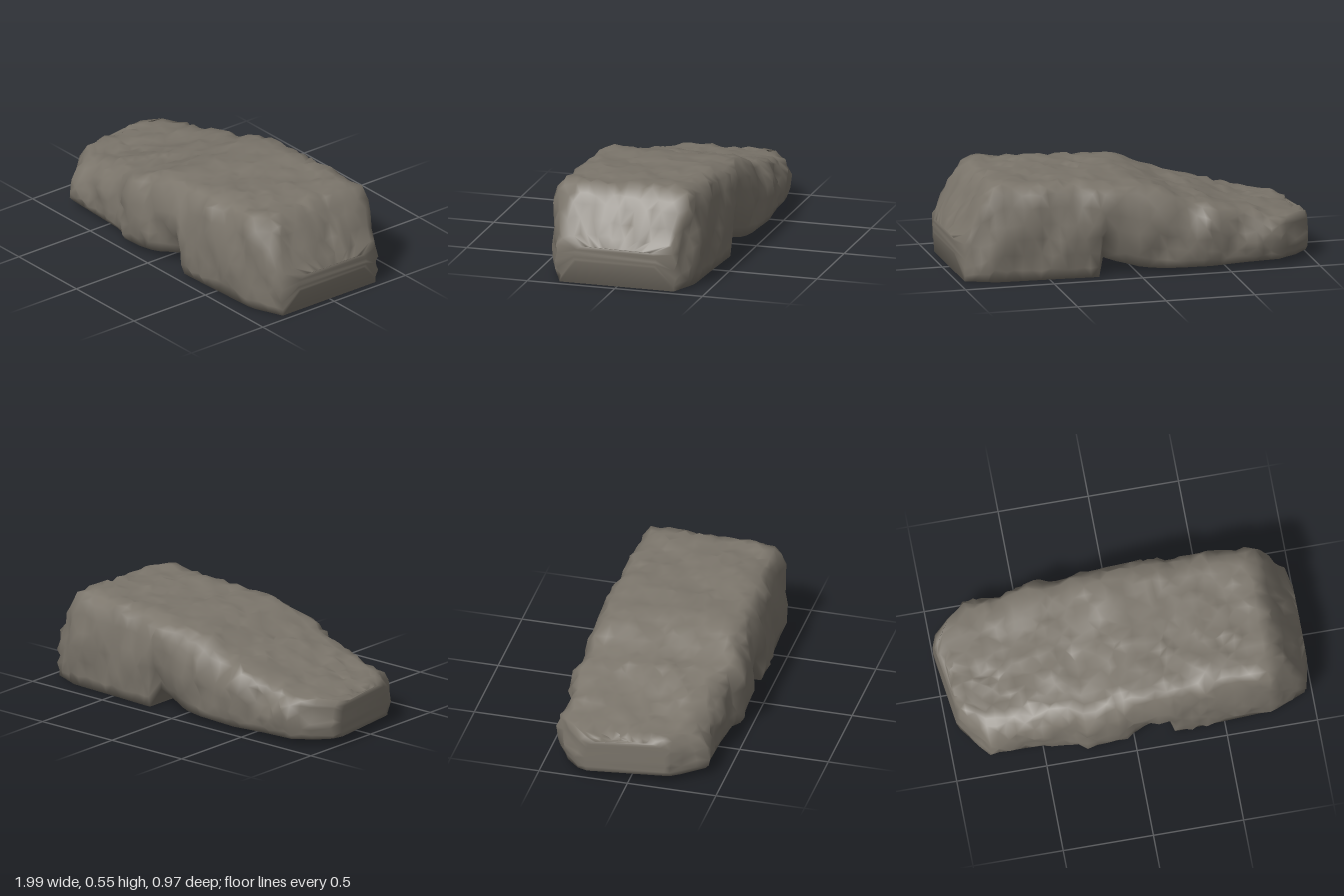
import * as THREE from 'three';

const { smoothstep, clamp } = THREE.MathUtils;

// Sections along the rock: x, bottom y, top y, back z, front z
const SECTIONS = [
  [-0.945, 0.045, 0.235, -0.24, 0.2],
  [-0.93, 0.04, 0.25, -0.3, 0.235],
  [-0.89, 0.037, 0.26, -0.38, 0.29],
  [-0.79, 0.034, 0.272, -0.445, 0.405],
  [-0.6, 0.03, 0.31, -0.45, 0.41],
  [-0.4, 0.026, 0.375, -0.47, 0.415],
  [-0.32, 0.026, 0.39, -0.465, 0.43],
  [-0.27, 0.025, 0.4, -0.46, 0.465],
  [-0.15, 0.027, 0.45, -0.455, 0.46],
  [0, 0.042, 0.49, -0.45, 0.45],
  [0.12, 0.07, 0.5, -0.45, 0.45],
  [0.19, 0.095, 0.503, -0.445, 0.45],
  [0.225, 0, 0.503, -0.445, 0.45],
  [0.45, 0, 0.52, -0.43, 0.44],
  [0.75, 0, 0.532, -0.415, 0.425],
  [0.8, 0, 0.522, -0.41, 0.415],
  [0.88, 0, 0.425, -0.375, 0.38],
  [0.96, 0, 0.27, -0.34, 0.345],
  [0.99, 0.13, 0.22, -0.23, 0.24],
];

// Flank profile: fraction of half width, fraction of height
const FLANK = [[0.95, 0], [0.98, 0.12], [1, 0.27], [1.01, 0.44], [1.005, 0.6], [0.98, 0.77], [0.93, 0.91], [0.85, 0.98]];
const TOP_STEPS = 15;

// Repeatable noise from -1 to 1
function noise(a, b, seed) {
  const s = Math.sin(a * 127.1 + b * 311.7 + seed * 74.7) * 43758.5453;
  return (s - Math.floor(s)) * 2 - 1;
}

// One closed loop: front flank, top, back flank, then straight across the base
function makeProfile() {
  const loop = FLANK.map(([u, v]) => ({ u, v, kind: v === 0 ? 'base' : 'flank' }));
  for (let i = 1; i < TOP_STEPS; i++) {
    loop.push({ u: 0.85 * (1 - 2 * i / TOP_STEPS), v: 1, kind: 'top' });
  }
  [...FLANK].reverse().forEach(([u, v]) => loop.push({ u: -u, v, kind: v === 0 ? 'base' : 'flank' }));
  return loop;
}

// Fill the gaps between the sections
function subdivide(sections, step) {
  const out = [];
  for (let k = 0; k < sections.length - 1; k++) {
    const a = sections[k], b = sections[k + 1];
    const n = Math.max(1, Math.round((b[0] - a[0]) / step));
    for (let i = 0; i < n; i++) out.push(a.map((p, c) => p + (b[c] - p) * i / n));
  }
  out.push(sections[sections.length - 1]);
  return out;
}

function makeRockGeometry() {
  const profile = makeProfile();
  const rings = subdivide(SECTIONS, 0.05);
  const n = profile.length, last = rings.length - 1;
  const positions = [], indices = [];

  rings.forEach(([x, low, high, back, front], i) => {
    const mid = (front + back) / 2, half = (front - back) / 2;
    const tame = i === 0 || i === last ? 0.3 : 1;
    // The front leans back towards the low end; the flanks are hollowed beside the notch
    const lean = 0.02 + 0.06 * smoothstep(-x, 0.25, 0.8) * (1 - smoothstep(-x, 0.85, 0.95));
    const hollow = 0.06 * smoothstep(x, -0.08, 0.14) * (1 - smoothstep(x, 0.19, 0.23));

    profile.forEach(({ u, v, kind }, j) => {
      let px = x, py = low + (high - low) * v, pz = mid + half * u;
      pz -= (u > 0 ? lean : 0.01) * u * v * v;
      pz -= hollow * u * (1 - smoothstep(v, 0.05, 0.45));
      // Chips and dents, leaving the underside smooth
      if (kind === 'top') {
        px += 0.014 * noise(i, j, 1) * tame;
        py += (0.012 * noise(i, j, 2) + 0.005 * Math.sin(x * 13 + pz * 9)) * tame;
        pz += 0.013 * noise(i, j, 3) * tame;
      } else if (kind === 'flank') {
        const side = Math.sign(u);
        px += 0.01 * noise(i, j, 4) * tame;
        py += 0.011 * noise(i, j, 5) * tame;
        pz += side * (0.014 * noise(i, j, 6) + 0.008 * Math.sin(x * 17 + py * 14 + side)) * tame;
      }
      // Corner jutting from the low end
      const jut = smoothstep(-pz, 0.04, 0.2) * (1 - smoothstep(-pz, 0.24, 0.42));
      px -= 0.055 * jut * smoothstep(-x, 0.8, 0.94);
      positions.push(clamp(px, -1, 1), Math.max(0, py), pz);
    });
  });

  for (let i = 0; i < last; i++) {
    for (let j = 0; j < n; j++) {
      const k = (j + 1) % n;
      const a = i * n + j, b = a + n, c = i * n + k, d = c + n;
      if ((i + j) % 2) indices.push(a, b, c, b, d, c);
      else indices.push(a, b, d, a, d, c);
    }
  }

  // End caps, fanned as strips between the front and back halves of the loop
  for (let j = 0; j < n / 2 - 1; j++) {
    const a = j, b = j + 1, c = n - 1 - j, d = n - 2 - j, e = last * n;
    indices.push(a, b, c);
    indices.push(e + a, e + c, e + b);
    if (b !== d) {
      indices.push(b, d, c);
      indices.push(e + b, e + c, e + d);
    }
  }

  const geometry = new THREE.BufferGeometry();
  geometry.setAttribute('position', new THREE.Float32BufferAttribute(positions, 3));
  geometry.setIndex(indices);
  geometry.computeVertexNormals();
  return geometry;
}

export function createModel() {
  const stone = new THREE.MeshStandardMaterial({ color: 0x7b756b });
  stone.name = 'greyBrownStone';

  const rock = new THREE.Mesh(makeRockGeometry(), stone);
  rock.name = 'rockSlab';

  const group = new THREE.Group();
  group.name = 'rock';
  group.add(rock);
  return group;
}
